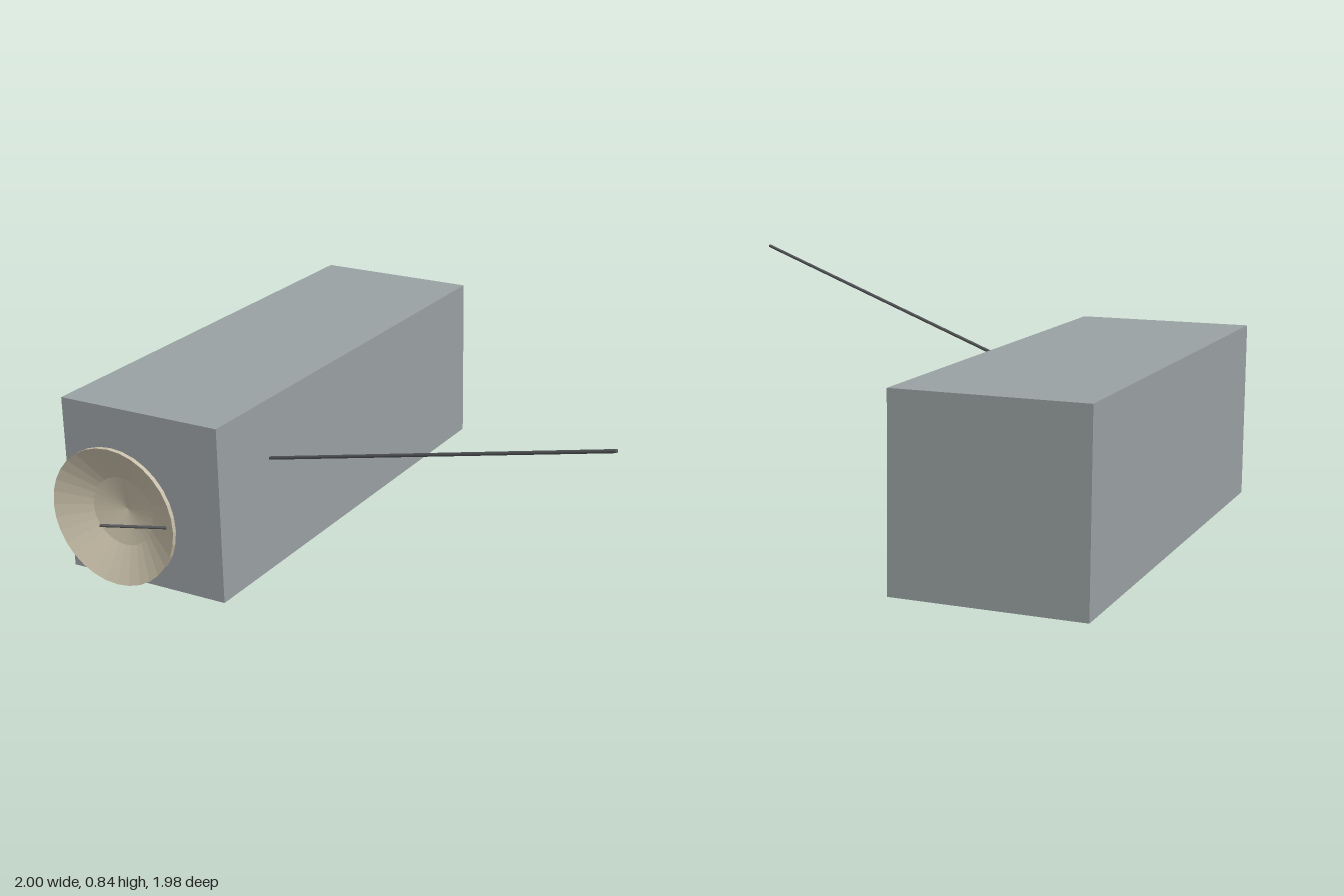
import * as THREE from 'three';

const mat = (name, color, extra = {}) =>
  Object.assign(new THREE.MeshStandardMaterial({ color, ...extra }), { name });

// Thin round rod between two points
function rod(name, from, to, radius, material) {
  const a = new THREE.Vector3(...from), b = new THREE.Vector3(...to);
  const dir = b.clone().sub(a);
  const mesh = new THREE.Mesh(new THREE.CylinderGeometry(radius, radius, dir.length(), 8), material);
  mesh.name = name;
  mesh.position.copy(a).add(b).multiplyScalar(0.5);
  mesh.quaternion.setFromUnitVectors(new THREE.Vector3(0, 1, 0), dir.normalize());
  return mesh;
}

export function createModel() {
  const grey = mat('hull grey', 0x9aa1a3);
  const cream = mat('dish cream', 0xc9c0aa, { flatShading: true });
  const dark = mat('rod dark grey', 0x55585a);
  const model = new THREE.Group();
  model.name = 'probe';

  // Long box body
  const body = new THREE.Mesh(new THREE.BoxGeometry(0.62, 0.62, 1.75), grey);
  body.name = 'body';
  body.position.set(-0.69, 0.31, -0.117);
  model.add(body);

  // Dish: straight cone behind, thin rim, two-step bowl in front
  const profile = [[0, 0], [0.24, 0.105], [0.24, 0.121], [0.12, 0.063], [0, 0.038]]
    .map(([r, h]) => new THREE.Vector2(r, h));
  const dish = new THREE.Mesh(new THREE.LatheGeometry(profile, 32), cream);
  dish.name = 'dish';
  dish.rotation.x = Math.PI / 2;
  dish.position.set(-0.69, 0.31, 0.8);
  model.add(dish);

  // Feed strut over the dish and long side boom
  model.add(rod('feedStrut', [-0.49, 0.31, 0.9], [-0.69, 0.31, 0.985], 0.005, dark));
  model.add(rod('boom', [-0.39, 0.405, 0.452], [1, 0.832, 0.81], 0.006, dark));
  return model;
}
